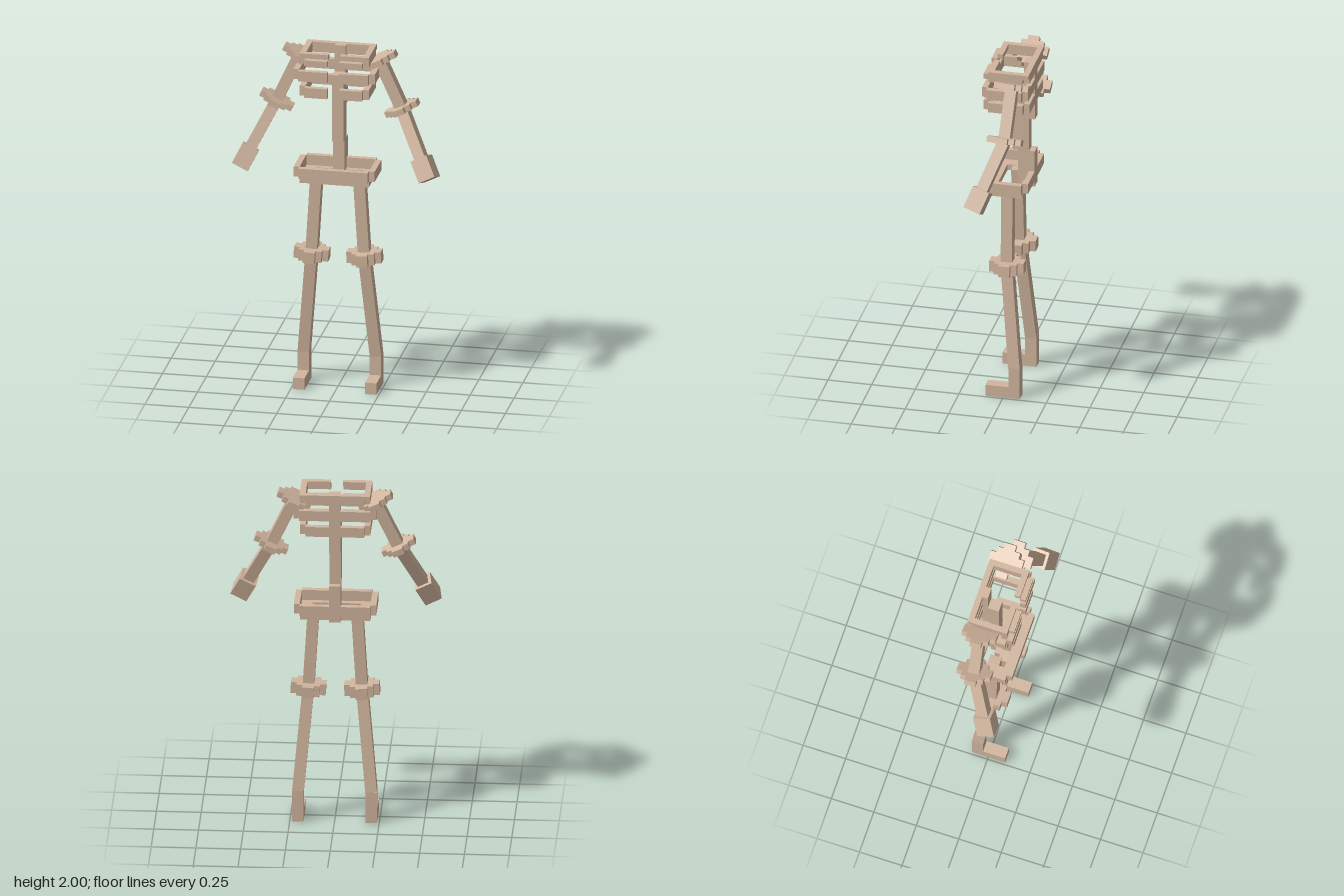
import * as THREE from 'three';

const bone = new THREE.MeshStandardMaterial({ color: 0xd2b69f });
bone.name = 'bone';

const V = (x, y, z) => new THREE.Vector3(x, y, z);

// Axis-aligned box from its limits
function block(parent, name, x0, x1, y0, y1, z0, z1) {
  const mesh = new THREE.Mesh(new THREE.BoxGeometry(x1 - x0, y1 - y0, z1 - z0), bone);
  mesh.position.set((x0 + x1) / 2, (y0 + y1) / 2, (z0 + z1) / 2);
  mesh.name = name;
  parent.add(mesh);
}

// Turns local y along a direction, keeping local x in the xy plane
function align(mesh, dir) {
  const y = dir.clone().normalize();
  const x = V(y.y, -y.x, 0).normalize();
  const z = x.clone().cross(y);
  mesh.quaternion.setFromRotationMatrix(new THREE.Matrix4().makeBasis(x, y, z));
}

// Square beam between two points
function beam(parent, name, a, b, width) {
  const dir = b.clone().sub(a);
  const mesh = new THREE.Mesh(new THREE.BoxGeometry(width, dir.length(), width), bone);
  mesh.position.copy(a).add(b).multiplyScalar(0.5);
  align(mesh, dir.negate());
  mesh.name = name;
  parent.add(mesh);
}

// Stepped round joint plate, six cells across
function joint(parent, name, centre, dir, thickness) {
  const c = 0.0328;
  const quarter = [[3, 1], [2, 1], [2, 2], [1, 2], [1, 3]];
  const points = [];
  for (let q = 0; q < 4; q++) {
    for (const [x, y] of quarter) {
      const p = new THREE.Vector2(x * c, y * c).rotateAround(new THREE.Vector2(), q * Math.PI / 2);
      points.push(p);
    }
  }
  const geo = new THREE.ExtrudeGeometry(new THREE.Shape(points), { depth: thickness, bevelEnabled: false });
  geo.translate(0, 0, -thickness / 2).rotateX(-Math.PI / 2);
  const mesh = new THREE.Mesh(geo, bone);
  mesh.position.copy(centre);
  align(mesh, dir);
  mesh.name = name;
  parent.add(mesh);
}

export function createModel() {
  const model = new THREE.Group();
  const torso = new THREE.Group();
  torso.name = 'torso';
  torso.position.x = -0.004;
  model.add(torso);

  // Spine in three offset lengths
  block(torso, 'upperSpine', -0.032, 0.032, 1.65, 2, -0.134, -0.07);
  block(torso, 'middleSpine', -0.032, 0.032, 1.45, 1.845, -0.1, -0.005);
  block(torso, 'lowerSpine', -0.032, 0.032, 1.23, 1.45, -0.132, -0.036);

  // Rib cage: back bar, side bars and split front bars; the middle rib is wider
  const ribs = [[1.75, 1.808, 0.197], [1.845, 1.905, 0.232], [1.94, 1.972, 0.197]];
  for (const [y0, y1, w] of ribs) {
    const inner = w - 0.033;
    block(torso, 'ribBack', -inner, inner, y0, y1, -0.134, -0.101);
    for (const s of [-1, 1]) {
      const span = (a, b) => (s > 0 ? [a, b] : [-b, -a]);
      block(torso, 'ribSide', ...span(inner, w), y0, y1, -0.101, 0.098);
      block(torso, 'ribFront', ...span(0.034, inner), y0, y1, 0.098, 0.13);
    }
  }
  // Top rib, upper step
  block(torso, 'topRibBack', -0.197, 0.197, 1.972, 2, -0.134, -0.101);
  for (const s of [-1, 1]) {
    const span = (a, b) => (s > 0 ? [a, b] : [-b, -a]);
    block(torso, 'topRibSide', ...span(0.164, 0.197), 1.972, 2, -0.101, 0.098);
    block(torso, 'topRibFront', ...span(0.034, 0.164), 1.972, 2, 0.065, 0.098);

    // Pelvis sides
    block(torso, 'pelvisSide', ...span(0.197, 0.23), 1.265, 1.325, -0.1, 0.098);
    block(torso, 'pelvisFloor', ...span(0.135, 0.197), 1.23, 1.265, -0.068, 0.065);
  }
  // Pelvis front and back
  block(torso, 'pelvisFront', -0.197, 0.197, 1.265, 1.325, 0.096, 0.129);
  block(torso, 'pelvisBack', -0.197, 0.197, 1.265, 1.325, -0.132, -0.1);
  block(torso, 'pelvisLowerFront', -0.197, 0.197, 1.23, 1.265, 0.063, 0.098);
  block(torso, 'pelvisLowerBack', -0.197, 0.197, 1.23, 1.265, -0.1, -0.068);

  for (const s of [-1, 1]) {
    const side = s > 0 ? 'left' : 'right';

    // Arm
    const arm = new THREE.Group();
    arm.name = side + 'Arm';
    model.add(arm);
    const shoulder = V(s * 0.228, 1.942, -0.05);
    const elbow = V(s * 0.356, 1.667, -0.038);
    const hand = V(s * 0.511, 1.358, 0.08);
    const upper = shoulder.clone().sub(elbow);
    const fore = hand.clone().sub(elbow).normalize();
    joint(arm, 'shoulderJoint', shoulder, upper, 0.034);
    beam(arm, 'upperArm', shoulder, elbow, 0.065);
    joint(arm, 'elbowJoint', elbow, upper, 0.034);
    beam(arm, 'forearm', elbow, hand, 0.065);
    beam(arm, 'hand', hand.clone().addScaledVector(fore, -0.065), hand.clone().addScaledVector(fore, 0.065), 0.1);

    // Leg
    const leg = new THREE.Group();
    leg.name = side + 'Leg';
    model.add(leg);
    const hip = V(s * 0.121, 1.262, -0.002);
    const knee = V(s * 0.15, 0.783, -0.005);
    const ankle = V(s * 0.205, 0.18, -0.062);
    beam(leg, 'thigh', hip, knee, 0.065);
    joint(leg, 'kneeJoint', knee, hip.clone().sub(knee), 0.066);
    beam(leg, 'shin', knee, ankle, 0.065);
    const fx = s * 0.205;
    block(leg, 'ankle', fx - 0.0325, fx + 0.0325, 0, 0.185, -0.095, -0.03);
    block(leg, 'foot', fx - 0.0325, fx + 0.0325, 0, 0.068, -0.03, 0.1);
  }
  return model;
}
